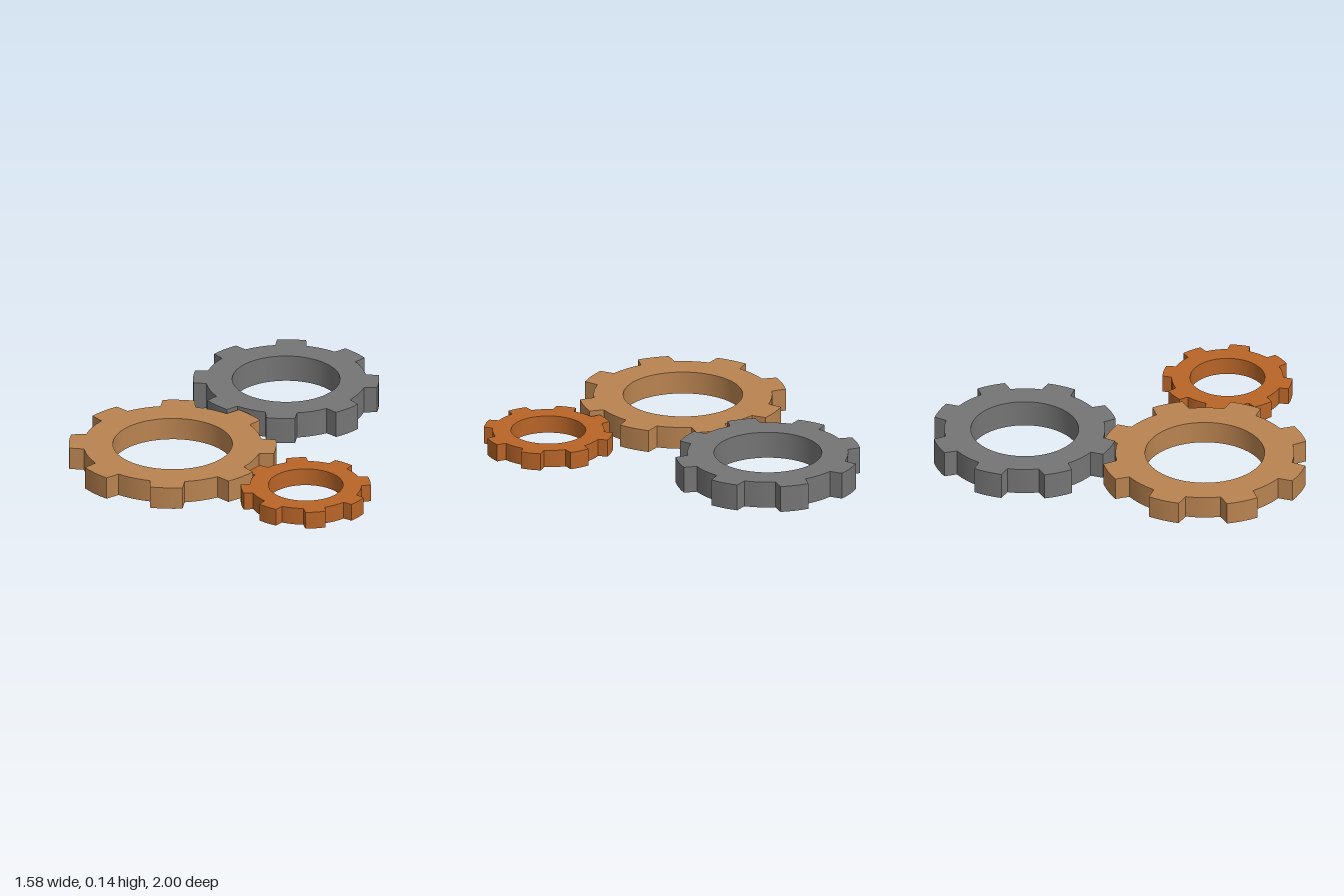
import * as THREE from 'three';
import { toCreasedNormals } from 'three/addons/utils/BufferGeometryUtils.js';

const TEETH = 8;
const TIP_HALF = THREE.MathUtils.degToRad(9);    // half angle of a tooth at its tip
const ROOT_HALF = THREE.MathUtils.degToRad(11.25); // half angle of a tooth at its root

// Flat ring with tapered teeth, lying in the xz plane
function makeGear({ name, color, x, z, bottom, top, tip, root, hole, turn }) {
  const points = [];
  const arc = (radius, from, to, steps) => {
    for (let i = 0; i <= steps; i++) {
      const a = from + (to - from) * i / steps;
      points.push(new THREE.Vector2(radius * Math.cos(a), radius * Math.sin(a)));
    }
  };
  const pitch = Math.PI * 2 / TEETH;
  for (let i = 0; i < TEETH; i++) {
    const a = turn + i * pitch;
    arc(tip, a - TIP_HALF, a + TIP_HALF, 4);
    arc(root, a + ROOT_HALF, a + pitch - ROOT_HALF, 4);
  }
  const shape = new THREE.Shape(points);
  shape.holes.push(new THREE.Path().absarc(0, 0, hole, 0, Math.PI * 2, true));

  const extruded = new THREE.ExtrudeGeometry(shape, {
    depth: top - bottom, bevelEnabled: false, curveSegments: 32,
  });
  extruded.rotateX(Math.PI / 2); // extrusion now runs downwards from the top face
  const gear = new THREE.Mesh(
    toCreasedNormals(extruded, 0.3),
    new THREE.MeshStandardMaterial({ color }),
  );
  gear.name = name;
  gear.position.set(x, top, z);
  return gear;
}

export function createModel() {
  const group = new THREE.Group();
  group.name = 'gearTrain';
  const gears = [
    { name: 'greyGear', color: 0x757575, x: 0.28, z: -0.522, bottom: 0, top: 0.14,
      tip: 0.478, root: 0.413, hole: 0.277, turn: 0 },
    { name: 'largeTanGear', color: 0xb98350, x: -0.256, z: 0.261, bottom: 0.006, top: 0.124,
      tip: 0.533, root: 0.459, hole: 0.307, turn: 0 },
    { name: 'smallCopperGear', color: 0xb96528, x: 0.453, z: 0.664, bottom: 0.009, top: 0.101,
      tip: 0.334, root: 0.287, hole: 0.192, turn: THREE.MathUtils.degToRad(32.7) },
  ];
  for (const spec of gears) group.add(makeGear(spec));
  return group;
}
